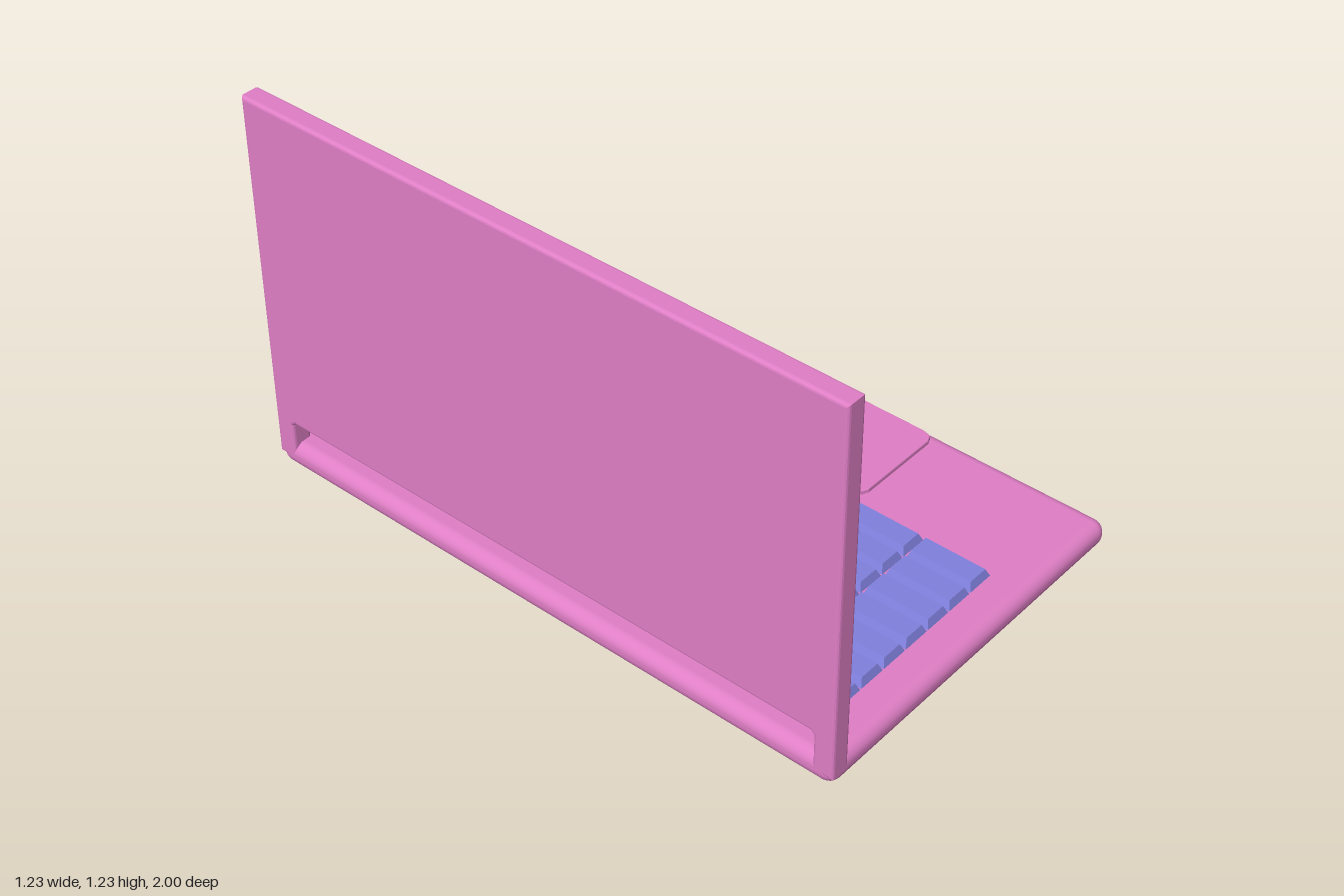
import * as THREE from 'three';
import { RoundedBoxGeometry } from 'three/addons/geometries/RoundedBoxGeometry.js';

const pink = new THREE.MeshStandardMaterial({ color: 0xe07fc6 });
const blue = new THREE.MeshStandardMaterial({ color: 0x8080dd });

// Rectangle with corners cut by curves of size rx by ry
function cornerRect(Type, x0, y0, x1, y1, rx, ry) {
  const s = new Type();
  s.moveTo(x0 + rx, y0);
  s.lineTo(x1 - rx, y0);
  s.quadraticCurveTo(x1, y0, x1, y0 + ry);
  s.lineTo(x1, y1 - ry);
  s.quadraticCurveTo(x1, y1, x1 - rx, y1);
  s.lineTo(x0 + rx, y1);
  s.quadraticCurveTo(x0, y1, x0, y1 - ry);
  s.lineTo(x0, y0 + ry);
  s.quadraticCurveTo(x0, y0, x0 + rx, y0);
  return s;
}

// Extrusion whose outside size equals the shape, starting at 0
function slab(shape, thickness, bevel) {
  const geo = new THREE.ExtrudeGeometry(shape, {
    depth: thickness - 2 * bevel, curveSegments: 2, bevelEnabled: bevel > 0,
    bevelSize: bevel, bevelThickness: bevel, bevelOffset: -bevel, bevelSegments: 3,
  });
  return geo.translate(0, 0, bevel);
}

export function createModel() {
  const model = new THREE.Group();
  const add = (name, geo, mat, parent = model) => {
    const mesh = new THREE.Mesh(geo, mat);
    mesh.name = name;
    parent.add(mesh);
    return mesh;
  };

  // Base with soft rounded edges
  add('base', new RoundedBoxGeometry(1.23, 0.083, 2, 4, 0.038), pink).position.y = 0.0415;

  // Lid frame: two hinge legs, a gap between them and a screen opening
  const lid = new THREE.Group();
  lid.name = 'lid';
  model.add(lid);
  const bevel = 0.01;
  const outline = new THREE.Shape([
    [-1, 0.035], [-0.935, 0.035], [-0.935, 0.155], [-0.925, 0.165],
    [0.925, 0.165], [0.935, 0.155], [0.935, 0.035], [1, 0.035],
    [1, 1.225], [-1, 1.225],
  ].map(([x, y]) => new THREE.Vector2(x, y)));
  outline.holes.push(cornerRect(THREE.Path, -0.9, 0.195, 0.9, 1.19, 0.1, 0.08));
  const frame = slab(outline, 0.065, bevel).rotateY(Math.PI / 2).translate(-0.615, 0, 0);
  add('lidFrame', frame, pink, lid);

  // Screen panel: recessed at the front, flush at the back
  const panel = cornerRect(THREE.Shape, -0.91, 0.185, 0.91, 1.2, 0.1, 0.08);
  add('screen', slab(panel, 0.05, 0).rotateY(Math.PI / 2).translate(-0.615, 0, 0), pink, lid);

  // Touchpad
  const pad = cornerRect(THREE.Shape, 0.25, -0.428, 0.588, 0.428, 0.03, 0.04);
  add('touchpad', slab(pad, 0.03, 0.004).rotateX(-Math.PI / 2).translate(0, 0.067, 0), pink);

  // Tapered key: the top corners are pulled inward
  const key = new THREE.BoxGeometry(0.092, 0.028, 0.216).toNonIndexed();
  const p = key.attributes.position;
  for (let i = 0; i < p.count; i++) {
    if (p.getY(i) < 0) continue;
    p.setX(i, p.getX(i) - Math.sign(p.getX(i)) * 0.013);
    p.setZ(i, p.getZ(i) - Math.sign(p.getZ(i)) * 0.01);
  }
  key.computeVertexNormals();

  // Keyboard grid
  const keyboard = new THREE.Group();
  keyboard.name = 'keyboard';
  model.add(keyboard);
  for (let row = 0; row < 8; row++) {
    for (let col = 0; col < 8; col++) {
      add('key', key, blue, keyboard).position.set(-0.493 + row * 0.095, 0.095, (col - 3.5) * 0.222);
    }
  }
  return model;
}
